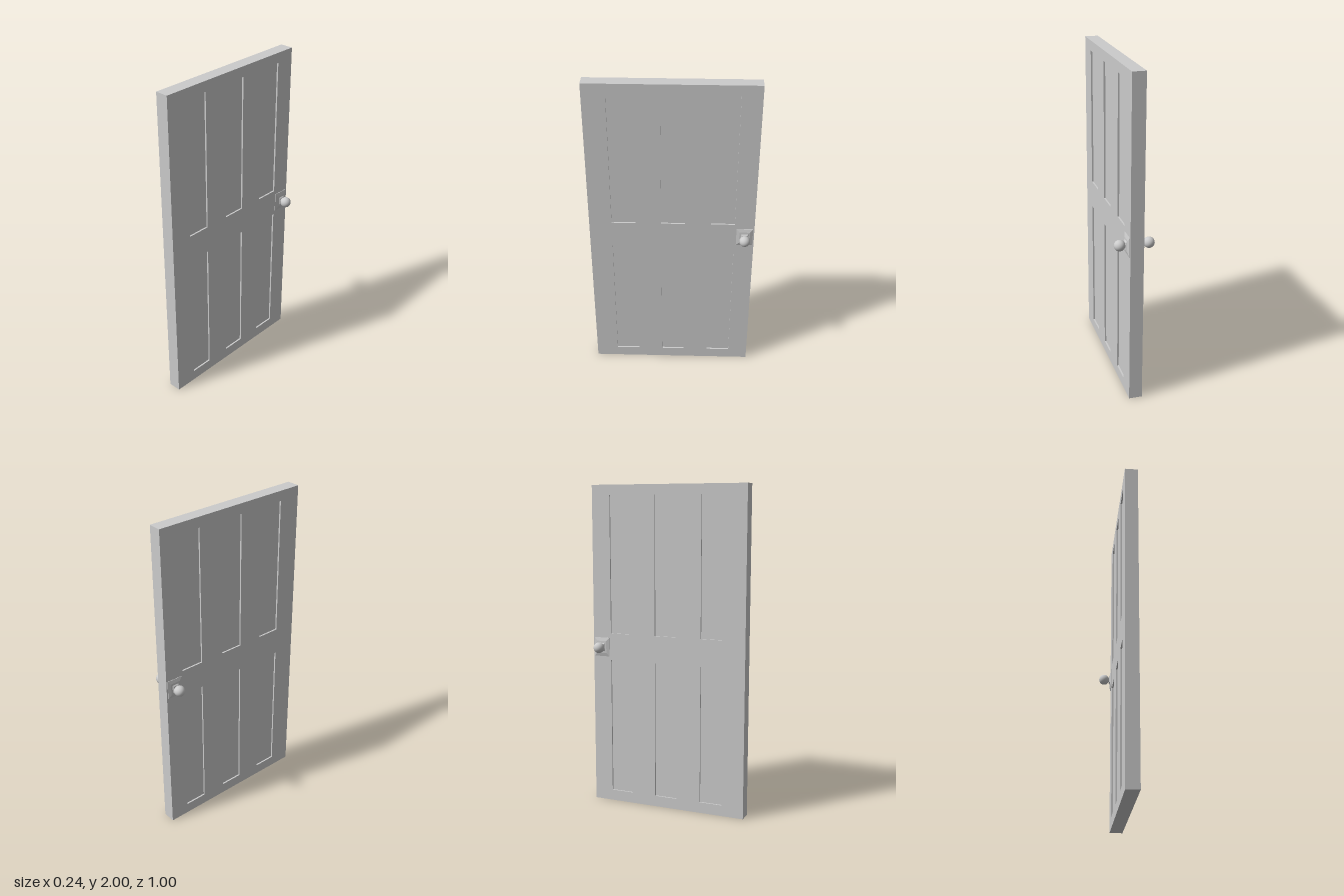
import * as THREE from 'three';

const HALF = 0.04;      // half the door thickness
const RECESS = 0.01;    // depth of the sunken panels
const KNOB_Z = -0.442;

const smooth = new THREE.MeshStandardMaterial({ color: 0xcccccc });
const flat = new THREE.MeshStandardMaterial({ color: 0xcccccc, flatShading: true });

function mesh(name, geometry, material) {
  const m = new THREE.Mesh(geometry, material);
  m.name = name;
  return m;
}

// Rectangle outline in the (z, y) plane
function rect(target, z0, z1, y0, y1) {
  target.moveTo(z0, y0);
  target.lineTo(z1, y0);
  target.lineTo(z1, y1);
  target.lineTo(z0, y1);
  target.closePath();
  return target;
}

// Turned profile of [distance from door centre, radius], axis along +x
function turned(profile, sides, start = 0) {
  const points = profile.map(([x, r]) => new THREE.Vector2(r, x));
  return new THREE.LatheGeometry(points, sides, start).rotateZ(-Math.PI / 2);
}

function createHandle(name) {
  const handle = new THREE.Group();
  handle.name = name;

  // Four-sided stepped backplate, slightly taller than wide
  const d = Math.SQRT2;
  const plate = turned([
    [HALF - 0.005, 0.05 * d], [0.043, 0.05 * d], [0.049, 0.032 * d],
    [0.05, 0.022 * d], [0.056, 0.016 * d], [0.056, 0],
  ], 4, Math.PI / 4);
  plate.scale(1, 1.18, 1);
  handle.add(mesh('backplate', plate, flat));

  // Neck and ball knob
  handle.add(mesh('neck', turned([[0.05, 0.014], [0.065, 0.014]], 20), smooth));
  const ball = mesh('knob', new THREE.SphereGeometry(0.033, 32, 20), smooth);
  ball.position.x = 0.087;
  handle.add(ball);

  handle.position.set(0, 1, KNOB_Z);
  return handle;
}

export function createModel() {
  const door = new THREE.Group();
  door.name = 'door';

  // Frame with six openings, each filled by a thinner panel
  const outline = rect(new THREE.Shape(), -0.5, 0.5, 0, 2);
  const panels = new THREE.Group();
  panels.name = 'panels';
  for (const z of [-0.308, -0.008, 0.292]) {
    for (const y of [0.493, 1.513]) {
      const w = 0.145, h = 0.85;
      outline.holes.push(rect(new THREE.Path(), z - w / 2, z + w / 2, y - h / 2, y + h / 2));
      const panel = mesh('panel', new THREE.BoxGeometry(2 * (HALF - RECESS), h, w), flat);
      panel.position.set(0, y, z);
      panels.add(panel);
    }
  }
  const frame = new THREE.ExtrudeGeometry(outline, { depth: 2 * HALF, bevelEnabled: false });
  frame.translate(0, 0, -HALF).rotateY(-Math.PI / 2);
  door.add(mesh('frame', frame, flat), panels);

  // A handle on each face
  const left = createHandle('leftHandle');
  const right = createHandle('rightHandle');
  right.rotation.y = Math.PI;
  door.add(left, right);
  return door;
}
